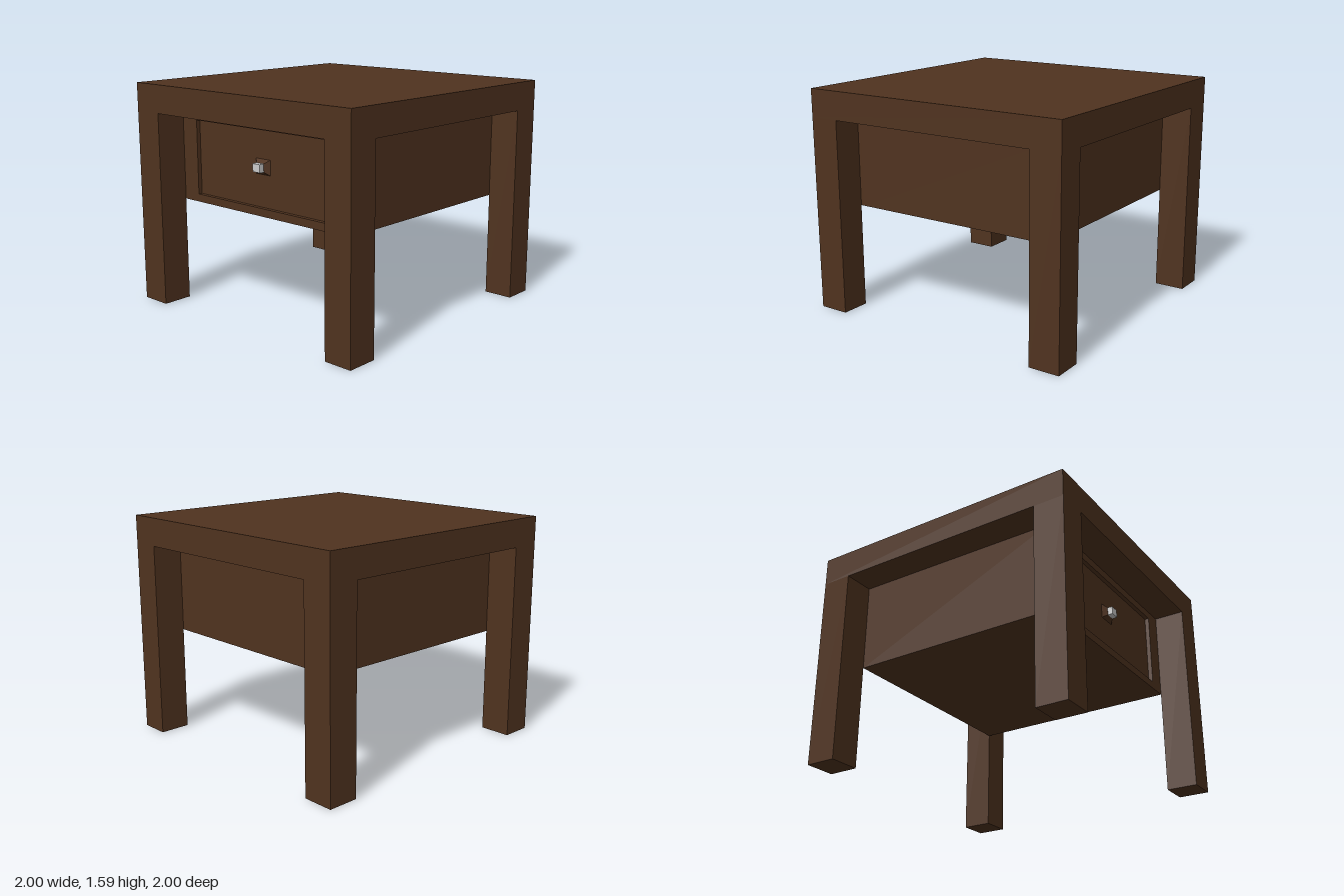
import * as THREE from 'three';

const wood = new THREE.MeshStandardMaterial({ color: 0x50331f, flatShading: true });
const metal = new THREE.MeshStandardMaterial({ color: 0xcccccc, flatShading: true });

// Box given by its two opposite corners
function block(name, [x0, y0, z0], [x1, y1, z1], material = wood) {
  const mesh = new THREE.Mesh(new THREE.BoxGeometry(x1 - x0, y1 - y0, z1 - z0), material);
  mesh.position.set((x0 + x1) / 2, (y0 + y1) / 2, (z0 + z1) / 2);
  mesh.name = name;
  return mesh;
}

function rectangle(path, x0, y0, x1, y1) {
  return path.moveTo(x0, y0).lineTo(x1, y0).lineTo(x1, y1).lineTo(x0, y1).closePath();
}

// Box whose front (+z) face is scaled down
function taperedBlock(name, w, h, d, sx, sy, material) {
  const geometry = new THREE.BoxGeometry(w, h, d);
  const p = geometry.attributes.position;
  for (let i = 0; i < p.count; i++) {
    if (p.getZ(i) > 0) p.setXY(i, p.getX(i) * sx, p.getY(i) * sy);
  }
  geometry.computeVertexNormals();
  const mesh = new THREE.Mesh(geometry, material);
  mesh.name = name;
  return mesh;
}

export function createModel() {
  const model = new THREE.Group();
  model.name = 'sideTable';

  const top = 1.585, under = 1.385, bottom = 0.745;
  const left = 0.79, right = -0.775, inner = 0.78;
  const recess = 0.03;

  // Thick table top
  model.add(block('tableTop', [-1, under, -1], [1, top, 1]));

  // Four square legs, flush with the corners of the top
  for (const [side, x0, x1] of [['Left', left, 1], ['Right', -1, right]]) {
    model.add(block('front' + side + 'Leg', [x0, 0, inner], [x1, under, 1]));
    model.add(block('back' + side + 'Leg', [x0, 0, -1], [x1, under, -inner]));
  }

  // Cabinet set in between the inner corners of the legs
  model.add(block('cabinet', [right, bottom, -inner], [left, under, inner - recess]));

  // Front frame around the sunken drawer front
  const frame = rectangle(new THREE.Shape(), right, bottom, left, under);
  frame.holes.push(rectangle(new THREE.Path(), -0.63, 0.8, 0.655, 1.33));
  const drawerFrame = new THREE.Mesh(
    new THREE.ExtrudeGeometry(frame, { depth: recess, bevelEnabled: false }), wood);
  drawerFrame.position.z = inner - recess;
  drawerFrame.name = 'drawerFrame';
  model.add(drawerFrame);

  // Drawer knob: tapered wooden base with a small metal tip
  const knob = new THREE.Group();
  knob.name = 'drawerKnob';
  const base = taperedBlock('knobBase', 0.135, 0.105, 0.03, 0.52, 0.55, wood);
  base.position.z = 0.015;
  const tip = taperedBlock('knobTip', 0.07, 0.058, 0.035, 0.95, 0.95, metal);
  tip.position.z = 0.0475;
  knob.add(base, tip);
  knob.position.set(0.008, 1.078, inner - recess);
  model.add(knob);

  return model;
}
